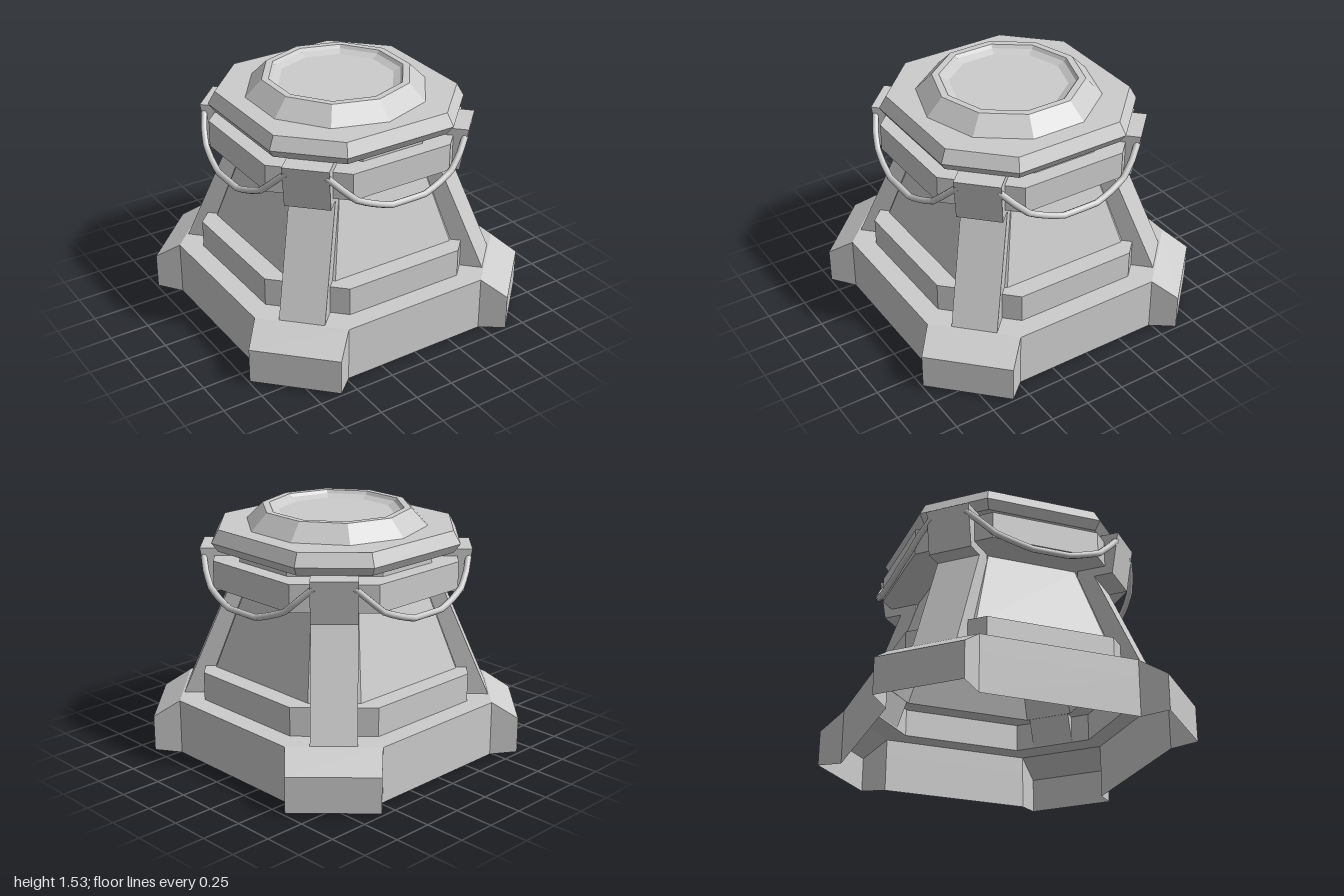
import * as THREE from 'three';

const material = new THREE.MeshStandardMaterial({ color: 0xcccccc, flatShading: true, side: THREE.DoubleSide });
const smooth = new THREE.MeshStandardMaterial({ color: 0xcccccc });

// Octagon ring: flat sides at distance `flat`, each `half` to either side of centre.
const oct = (y, half, flat) => [[half, y, flat], [flat, y, half]];

// Joins rings into a faceted skin. Each ring lists one corner's points, repeated four times around.
function loft(rings) {
  const full = rings.map((corner) => {
    const ring = [];
    for (let q = 0; q < 4; q++) {
      for (const p of corner) {
        ring.push(new THREE.Vector3(...p).applyAxisAngle(new THREE.Vector3(0, 1, 0), q * Math.PI / 2));
      }
    }
    return ring;
  });
  const points = [];
  const tri = (a, b, c) => {
    if (new THREE.Triangle(a, b, c).getArea() > 1e-6) points.push(a, b, c);
  };
  for (let r = 0; r < full.length - 1; r++) {
    const lo = full[r], hi = full[r + 1], n = lo.length;
    for (let i = 0; i < n; i++) {
      const j = (i + 1) % n;
      tri(lo[i], lo[j], hi[j]);
      tri(lo[i], hi[j], hi[i]);
    }
  }
  const geometry = new THREE.BufferGeometry().setFromPoints(points);
  geometry.computeVertexNormals();
  return geometry;
}

// Radial outline (distance, height) given the width of a strut.
function slab(outline, width) {
  const shape = new THREE.Shape(outline.map(([r, y]) => new THREE.Vector2(r, y)));
  return new THREE.ExtrudeGeometry(shape, { depth: width, bevelEnabled: false }).translate(0, 0, -width / 2);
}

export function createModel() {
  const model = new THREE.Group();
  const add = (name, geometry, mat = material, parent = model) => {
    const mesh = new THREE.Mesh(geometry, mat);
    mesh.name = name;
    parent.add(mesh);
    return mesh;
  };

  // Hollow base with four corner feet sloping up to the ledge
  const foot = (y, outerY) => [[0.485, y, 0.885], [0.61, outerY, 1], [1, outerY, 0.61], [0.885, y, 0.485]];
  const a = [0.485, 0.35, 0.885], b = [0.885, 0.35, 0.485];
  add('base', loft([foot(0, 0.015), foot(0.24, 0.24), [a, a, b, b]]));

  // Stepped ring and tapering body
  add('step', loft([oct(0.35, 0.485, 0.885), oct(0.35, 0.395, 0.76), oct(0.53, 0.395, 0.76), oct(0.53, 0.42, 0.64)]));
  add('body', loft([oct(0.53, 0.42, 0.64), oct(1.08, 0.285, 0.48)]));

  // Collar band and neck under the lid
  add('collar', loft([
    oct(1.08, 0.285, 0.48), oct(1.08, 0.34, 0.705), oct(1.25, 0.34, 0.705),
    oct(1.25, 0.21, 0.605), oct(1.295, 0.21, 0.605),
  ]));

  // Bevelled octagonal lid
  add('lid', loft([
    oct(1.295, 0, 0), oct(1.295, 0.35, 0.655), oct(1.35, 0.37, 0.69),
    oct(1.43, 0.35, 0.65), oct(1.43, 0, 0),
  ]));

  // Ten-sided cap with a shallow dish
  const capProfile = [[0.565, 1.43], [0.463, 1.535], [0.42, 1.535], [0.405, 1.515], [0.36, 1.495], [0, 1.495]];
  add('cap', new THREE.LatheGeometry(capProfile.map(([r, y]) => new THREE.Vector2(r, y)), 10));

  // Corner struts with head blocks
  const strut = slab([[0.958, 0.35], [0.668, 1.025], [0.565, 1.025], [0.82, 0.35]], 0.276);
  const block = slab([[0.785, 1.025], [0.831, 1.295], [0.56, 1.295], [0.56, 1.025]], 0.276);

  // Drooping handle hung between neighbouring blocks
  const half = [[0.49, 1.25, 0.655], [0.41, 1.165, 0.705], [0.33, 1.09, 0.735], [0.23, 1.05, 0.755], [0.12, 1.015, 0.768]];
  const points = [...half.map(([x, y, z]) => [-x, y, z]), ...half.reverse()].map((p) => new THREE.Vector3(...p));
  const path = new THREE.CatmullRomCurve3(points, false, 'catmullrom', 0.1);
  const handle = new THREE.TubeGeometry(path, 20, 0.02, 8);

  for (let i = 0; i < 4; i++) {
    const side = new THREE.Group();
    side.name = 'side';
    side.rotation.y = i * Math.PI / 2;
    add('strut', strut, material, side).rotation.y = -Math.PI / 4;
    add('headBlock', block, material, side).rotation.y = -Math.PI / 4;
    add('handle', handle, smooth, side);
    model.add(side);
  }
  return model;
}
